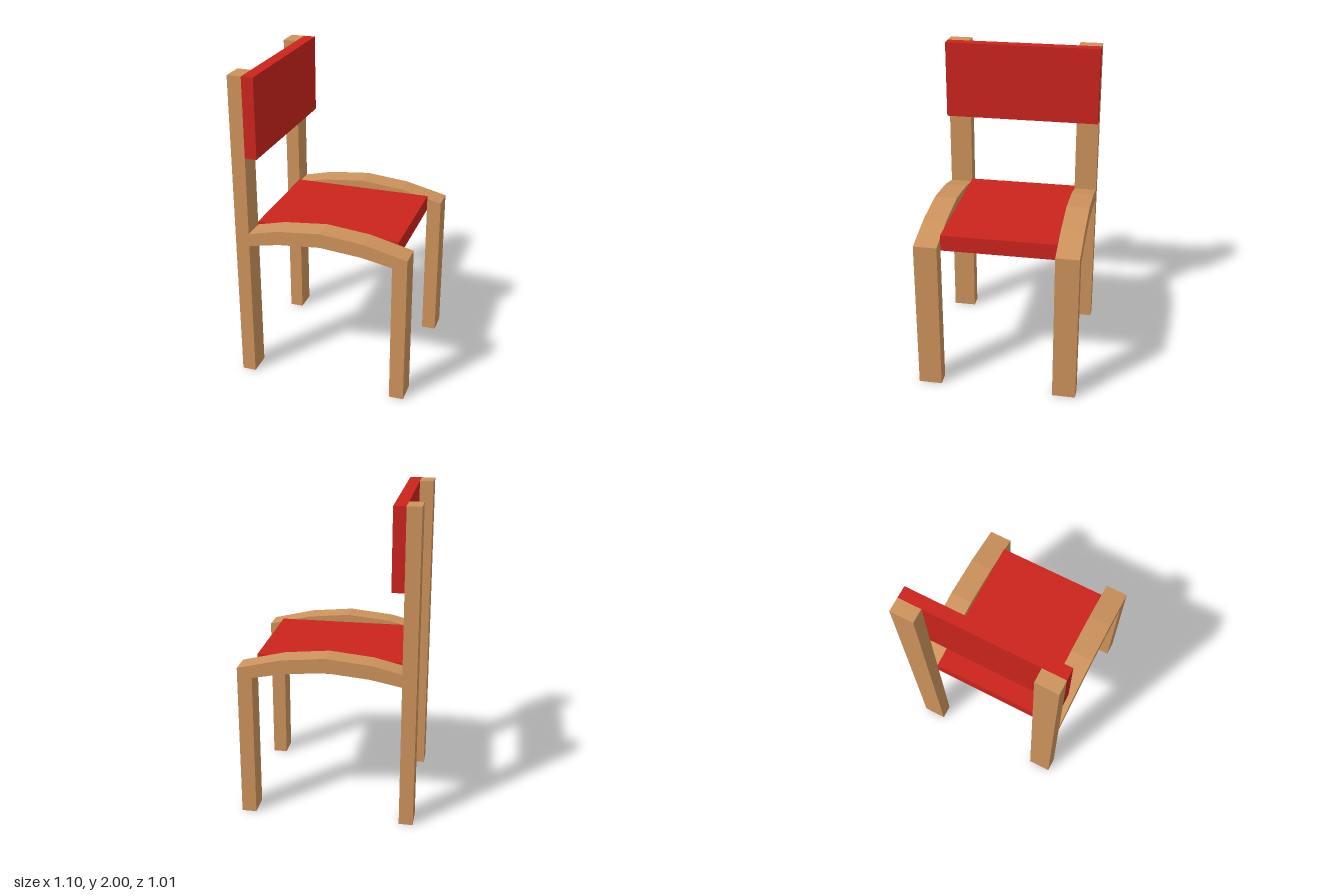
import * as THREE from 'three';

const wood = new THREE.MeshStandardMaterial({ color: 0xcd935c, flatShading: true });
const red = new THREE.MeshStandardMaterial({ color: 0xcc241d, flatShading: true });

// Box given by its limits on each axis
function box(name, material, [x0, x1], [y0, y1], [z0, z1]) {
  const mesh = new THREE.Mesh(new THREE.BoxGeometry(x1 - x0, y1 - y0, z1 - z0), material);
  mesh.position.set((x0 + x1) / 2, (y0 + y1) / 2, (z0 + z1) / 2);
  mesh.name = name;
  return mesh;
}

export function createModel() {
  const chair = new THREE.Group();
  chair.name = 'chair';
  const inner = 0.36, outer = 0.507;

  // Arched side rail running into the front leg, as one profile
  const profile = new THREE.Shape([
    [-0.46, 0.92], [-0.265, 0.958], [0, 0.982], [0.265, 0.958], [0.456, 0.92],
    [0.456, 0], [0.548, 0], [0.548, 0.98],
    [0.275, 1.046], [0, 1.073], [-0.275, 1.046], [-0.46, 1.002],
  ].map(([x, y]) => new THREE.Vector2(x, y)));
  const railGeometry = new THREE.ExtrudeGeometry(profile, { depth: outer - inner, bevelEnabled: false });

  for (const [side, z] of [['left', inner], ['right', -outer]]) {
    const rail = new THREE.Mesh(railGeometry, wood);
    rail.name = `${side}RailAndFrontLeg`;
    rail.position.z = z;
    chair.add(rail);
    // Tall back post
    chair.add(box(`${side}BackPost`, wood, [-0.548, -0.46], [0, 2], [z, z + outer - inner]));
  }

  // Seat panel between the rails, backrest across the posts
  chair.add(box('seat', red, [-0.46, 0.456], [0.92, 1.022], [-inner, inner]));
  chair.add(box('backrest', red, [-0.46, -0.385], [1.5, 2], [-outer, outer]));
  return chair;
}
